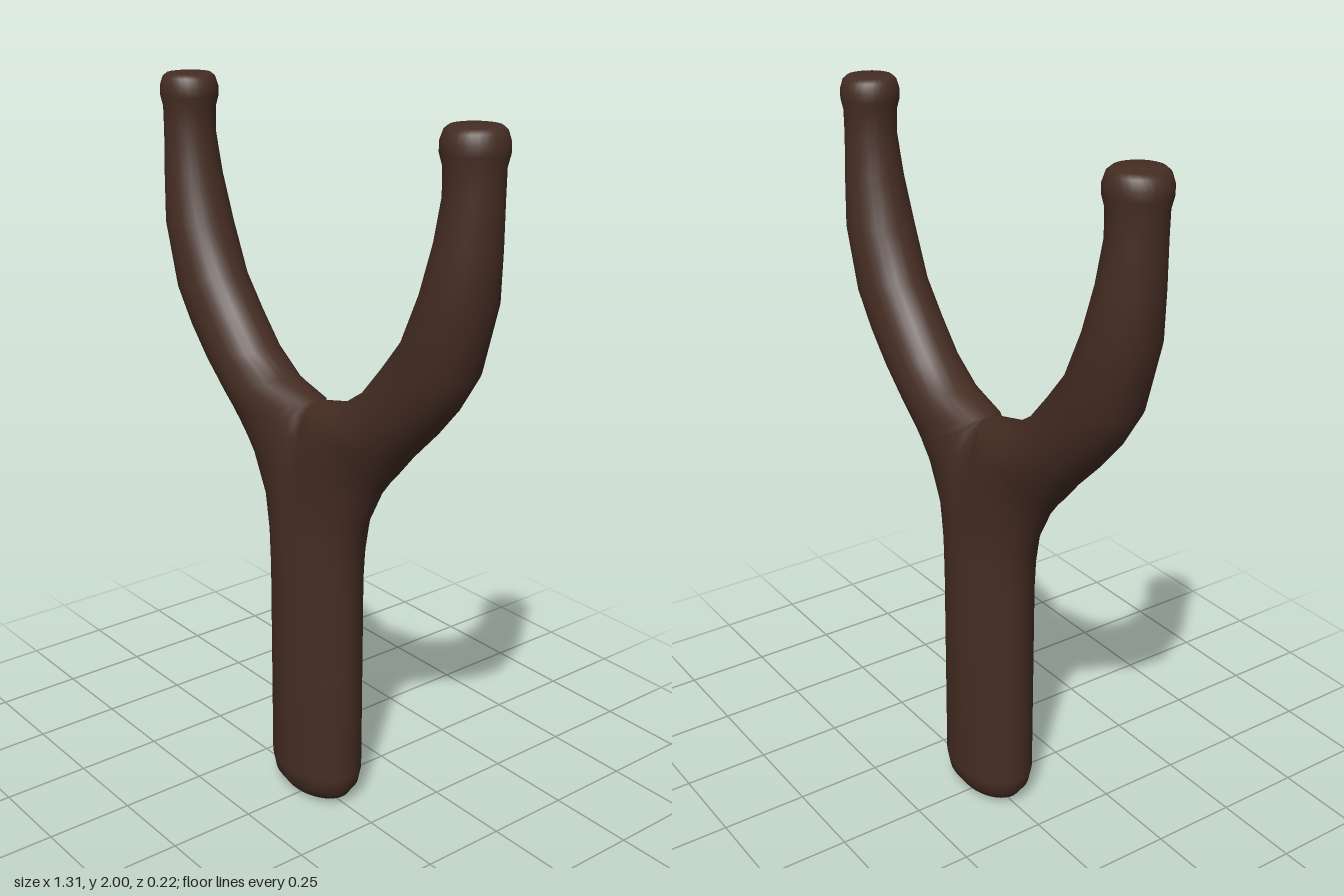
import * as THREE from 'three';
import { mergeVertices } from 'three/addons/utils/BufferGeometryUtils.js';

const SIDES = 28;

// Half of the fork: [outer x, outer y, inner x, inner y, half depth, sweep in degrees]
// A sweep of 90 is a half ellipse on the centre line, 180 a full one.
const handleSections = [
  [0, 0, 0, 0, 0, 90],
  [0.08, 0, 0, 0, 0.04, 90],
  [0.12, 0.02, 0, 0.02, 0.078, 90],
  [0.145, 0.055, 0, 0.055, 0.102, 90],
  [0.155, 0.1, 0, 0.1, 0.11, 90],
  [0.155, 0.4, 0, 0.4, 0.11, 90],
  [0.155, 0.7, 0, 0.7, 0.11, 90],
  [0.17, 0.8, 0, 0.8, 0.102, 92],
  [0.195, 0.9, 0, 0.9, 0.095, 96],
  [0.25, 1.0, 0, 1.03, 0.094, 108],
  [0.27, 1.025, 0, 1.11, 0.094, 128],
  [0.29, 1.05, 0, 1.17, 0.095, 150],
];
const armSections = [
  [0.31, 1.07, 0, 1.2, 0.095],
  [0.37, 1.14, 0.125, 1.228, 0.096],
  [0.45, 1.22, 0.22, 1.29, 0.096],
  [0.52, 1.3, 0.3, 1.38, 0.096],
  [0.585, 1.4, 0.375, 1.47, 0.096],
  [0.635, 1.59, 0.44, 1.6, 0.095],
  [0.643, 1.72, 0.48, 1.73, 0.082],
  [0.647, 1.84, 0.5, 1.84, 0.072],
  [0.647, 1.91, 0.499, 1.91, 0.073],
  [0.655, 1.94, 0.489, 1.94, 0.08],
  [0.655, 1.965, 0.489, 1.965, 0.08],
  [0.645, 1.99, 0.499, 1.99, 0.073],
  [0.633, 2, 0.511, 2, 0.062],
  [0.572, 2, 0.572, 2, 0],
].map((s) => [...s, 180]);

// Loft both mirrored halves into one welded, smooth surface
function forkGeometry() {
  const sections = [...handleSections, ...armSections];
  const positions = [];
  const indices = [];
  for (const side of [1, -1]) {
    const base = positions.length / 3;
    sections.forEach(([ox, oy, ix, iy, depth, sweep], i) => {
      const end = THREE.MathUtils.degToRad(sweep);
      for (let j = 0; j <= SIDES; j++) {
        const a = end * ((2 * j) / SIDES - 1);
        const t = (Math.cos(a) - Math.cos(end)) / (1 - Math.cos(end));
        positions.push(side * (ix + (ox - ix) * t), iy + (oy - iy) * t, depth * Math.sin(a));
        if (i === 0 || j === SIDES) continue;
        const d = base + i * (SIDES + 1) + j;
        const c = d - SIDES - 1;
        if (side > 0) indices.push(c, d, c + 1, d, d + 1, c + 1);
        else indices.push(c, c + 1, d, d, c + 1, d + 1);
      }
    });
  }
  let geometry = new THREE.BufferGeometry();
  geometry.setAttribute('position', new THREE.Float32BufferAttribute(positions, 3));
  geometry.setIndex(indices);
  geometry = mergeVertices(geometry, 1e-4);
  geometry.computeVertexNormals();
  return geometry;
}

export function createModel() {
  const group = new THREE.Group();
  group.name = 'slingshot';
  const wood = new THREE.MeshStandardMaterial({ color: 0x452d23 });
  wood.name = 'dark wood';
  const fork = new THREE.Mesh(forkGeometry(), wood);
  fork.name = 'forkedHandle';
  group.add(fork);
  return group;
}
